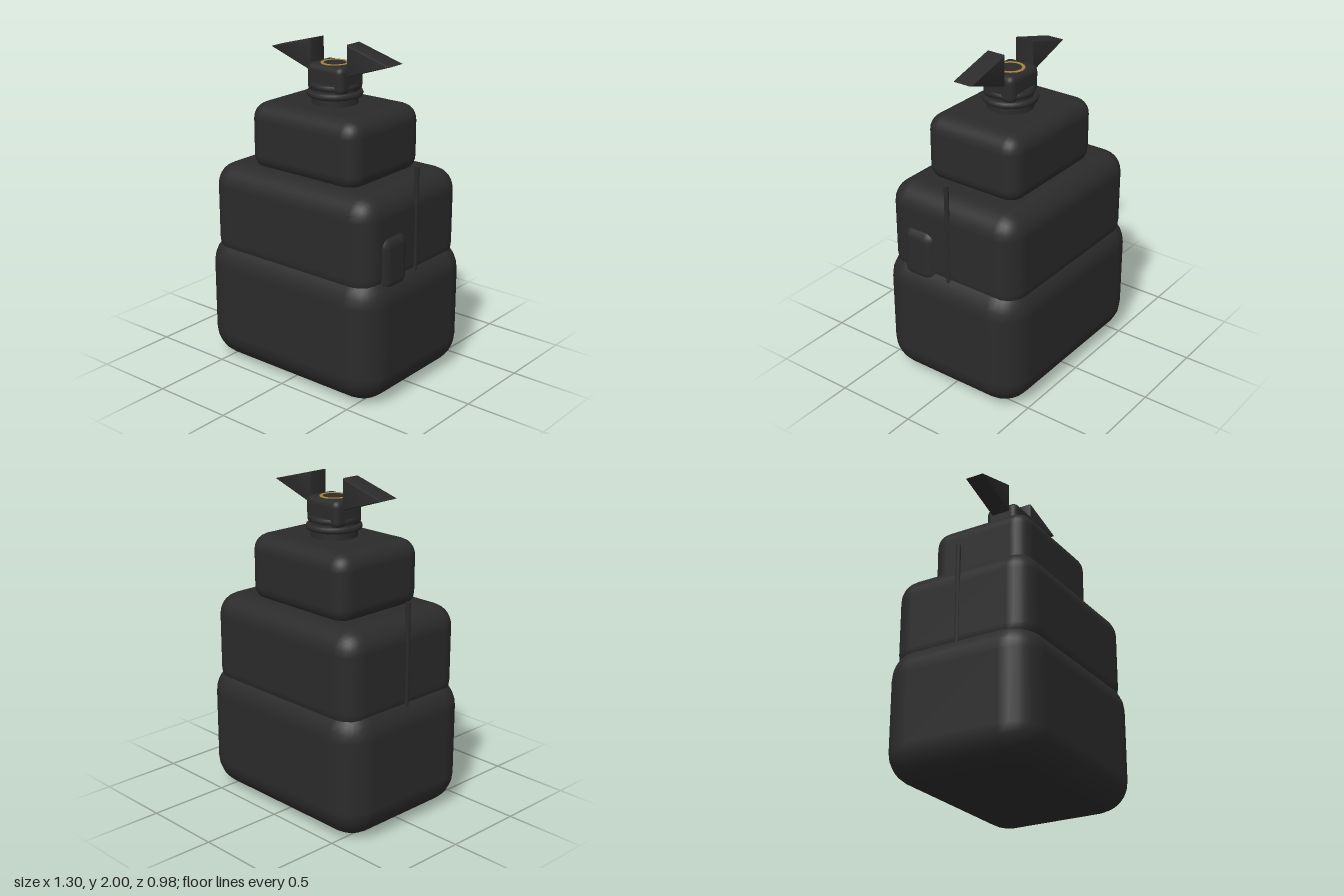
import * as THREE from 'three';
import { RoundedBoxGeometry } from 'three/addons/geometries/RoundedBoxGeometry.js';
import { toCreasedNormals } from 'three/addons/utils/BufferGeometryUtils.js';

export function createModel() {
  const model = new THREE.Group();
  model.name = 'tieredTower';
  const black = new THREE.MeshStandardMaterial({ name: 'matte black', color: 0x2b2b2b });
  const gold = new THREE.MeshStandardMaterial({ name: 'brass gold', color: 0xa8803a });

  const add = (name, geometry, material, x = 0, y = 0, z = 0) => {
    const mesh = new THREE.Mesh(geometry, material);
    mesh.name = name;
    mesh.position.set(x, y, z);
    model.add(mesh);
    return mesh;
  };
  // Soft block given by its width, depth, bottom and top
  const block = (name, w, d, y0, y1, r, x = 0, z = 0) =>
    add(name, new RoundedBoxGeometry(w, y1 - y0, d, 3, r), black, x, (y0 + y1) / 2, z);

  // Three stacked body tiers
  block('lowerTier', 1.3, 0.98, 0, 0.81, 0.19);
  block('middleTier', 1.2, 0.91, 0.65, 1.255, 0.135);
  block('upperTier', 0.8, 0.65, 1.22, 1.635, 0.1);

  // Pouch on the left flank
  block('sidePouch', 0.16, 0.24, 0.68, 1.02, 0.07, 0.548, 0.21);

  // Neck with two collars
  add('neck', new THREE.CylinderGeometry(0.135, 0.14, 0.18, 24), black, 0, 1.67);
  const collar = (name, radius, tube, y) => {
    add(name, new THREE.TorusGeometry(radius, tube, 8, 28), black, 0, y).rotation.x = Math.PI / 2;
  };
  collar('lowerCollar', 0.147, 0.02, 1.695);
  collar('upperCollar', 0.124, 0.021, 1.74);

  // Head with an inlaid ring on top
  block('head', 0.27, 0.22, 1.7, 1.87, 0.04);
  const ring = add('crownRing', new THREE.TorusGeometry(0.076, 0.011, 8, 20), gold, 0, 1.869);
  ring.rotation.x = Math.PI / 2;
  ring.scale.z = 0.4;

  // Mirrored wedge wings and side rods
  const b = 0.008;
  for (const [side, s] of [['left', 1], ['right', -1]]) {
    const shape = new THREE.Shape([
      new THREE.Vector2(s * 0.14, 1.82),
      new THREE.Vector2(s * 0.43, 1.914),
      new THREE.Vector2(s * 0.14, 1.99),
    ]);
    const wing = new THREE.ExtrudeGeometry(shape, {
      depth: 0.124 - 2 * b, bevelEnabled: true, bevelThickness: b, bevelSize: b, bevelSegments: 2,
    });
    wing.translate(0, 0, b - 0.062);
    add(side + 'Wing', toCreasedNormals(wing, 0.6), black);
    add(side + 'Rod', new THREE.CylinderGeometry(0.014, 0.014, 0.65, 8), black, s * 0.597, 1.035, 0);
  }
  return model;
}
